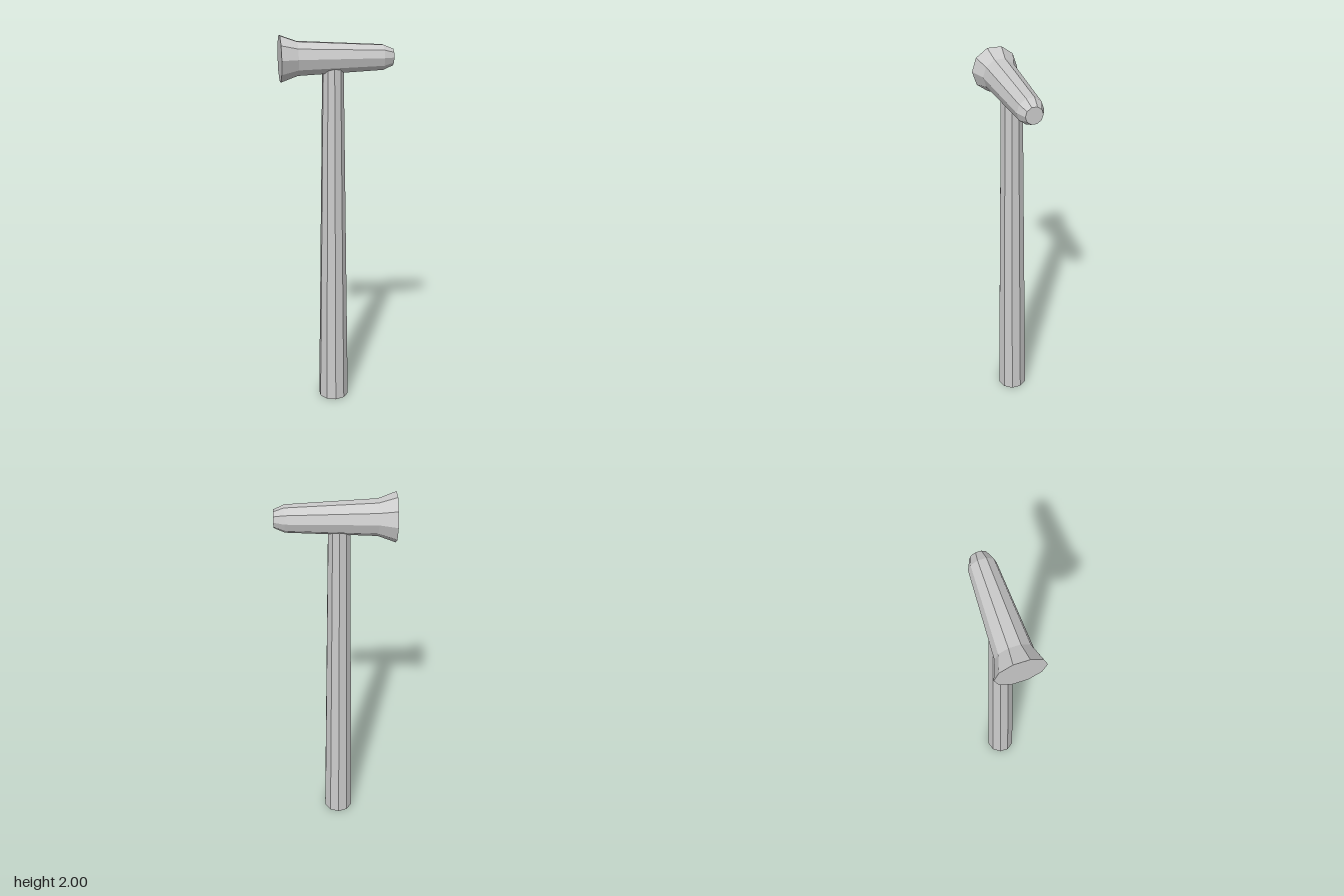
import * as THREE from 'three';

const SIDES = 10;

export function createModel() {
  const group = new THREE.Group();
  const material = new THREE.MeshStandardMaterial({ color: 0xcccccc, flatShading: true });

  // Head: flared striking face at -x, tapering to a chamfered tip at +x
  const profile = [
    [0, -0.284], [0.117, -0.284], [0.086, -0.199], [0.0645, 0.231], [0.0425, 0.283], [0, 0.283],
  ].map(([r, y]) => new THREE.Vector2(r, y));
  const headGeometry = new THREE.LatheGeometry(profile, SIDES);
  headGeometry.rotateZ(-Math.PI / 2);
  const head = new THREE.Mesh(headGeometry, material);
  head.name = 'head';
  head.position.set(0, 1.889, -0.001);
  group.add(head);

  // Handle: long faceted shaft, slimmer towards the head and sunk into it
  const height = 1.87;
  const handle = new THREE.Mesh(new THREE.CylinderGeometry(0.054, 0.083, height, SIDES), material);
  handle.name = 'handle';
  handle.position.set(-0.02, height / 2, 0);
  group.add(handle);

  return group;
}
